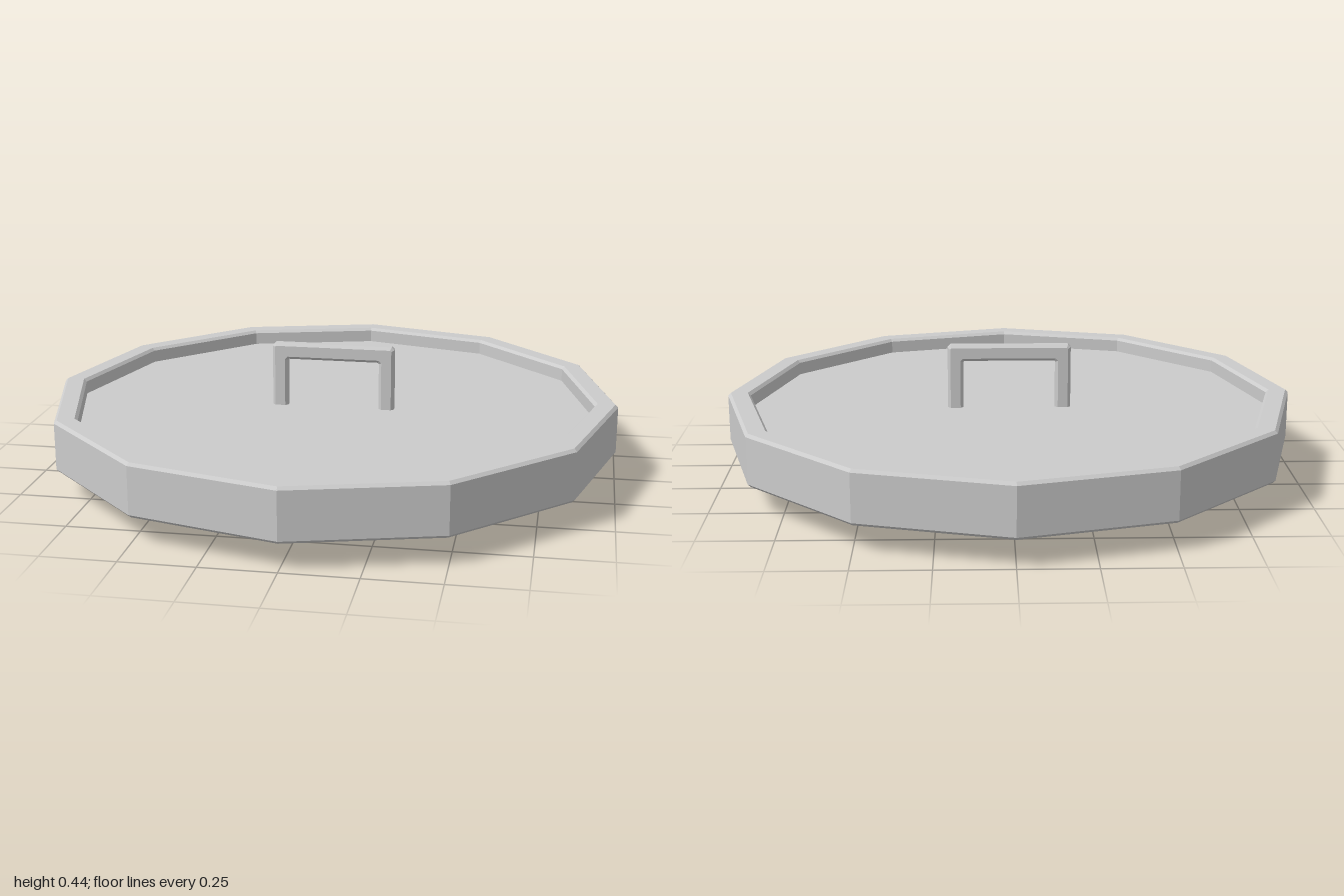
import * as THREE from 'three';

const SIDES = 12;
const BEVEL = 0.01;

// Rectangle outline with slightly clipped corners
function clippedRect(target, x, y0, y1, c) {
  target.setFromPoints([
    [-x + c, y0], [x - c, y0], [x, y0 + c], [x, y1 - c],
    [x - c, y1], [-x + c, y1], [-x, y1 - c], [-x, y0 + c],
  ].map(([px, py]) => new THREE.Vector2(px, py)));
  return target;
}

export function createModel() {
  const group = new THREE.Group();
  const material = new THREE.MeshStandardMaterial({ color: 0xcccccc, flatShading: true });
  const add = (name, geometry) => {
    const mesh = new THREE.Mesh(geometry, material);
    mesh.name = name;
    group.add(mesh);
    return mesh;
  };

  // Raised twelve-sided rim: closed, chamfered cross-section
  const inner = 0.92, outer = 1, low = 0.09, high = 0.272, b = BEVEL;
  const section = [
    [outer - b, low], [outer, low + b], [outer, high - b], [outer - b, high],
    [inner + b, high], [inner, high - b], [inner, low + b], [inner + b, low],
    [outer - b, low],
  ].map(([r, y]) => new THREE.Vector2(r, y));
  add('rim', new THREE.LatheGeometry(section, SIDES));

  // Recessed disc inside the rim
  const top = 0.217, bottom = 0.14;
  const panel = add('panel', new THREE.CylinderGeometry(inner + 0.02, inner + 0.02, top - bottom, SIDES));
  panel.position.y = (top + bottom) / 2;

  // Rectangular handle loop that passes through the disc
  const loop = clippedRect(new THREE.Shape(), 0.218, 0, 0.445, BEVEL);
  loop.holes.push(clippedRect(new THREE.Path(), 0.163, 0.06, 0.387, 0.004));
  const handle = new THREE.ExtrudeGeometry(loop, {
    depth: 0.02, bevelEnabled: true, bevelSegments: 1,
    bevelSize: BEVEL, bevelThickness: BEVEL, bevelOffset: -BEVEL,
  });
  handle.translate(0, 0, -0.01);
  add('handle', handle);

  return group;
}
